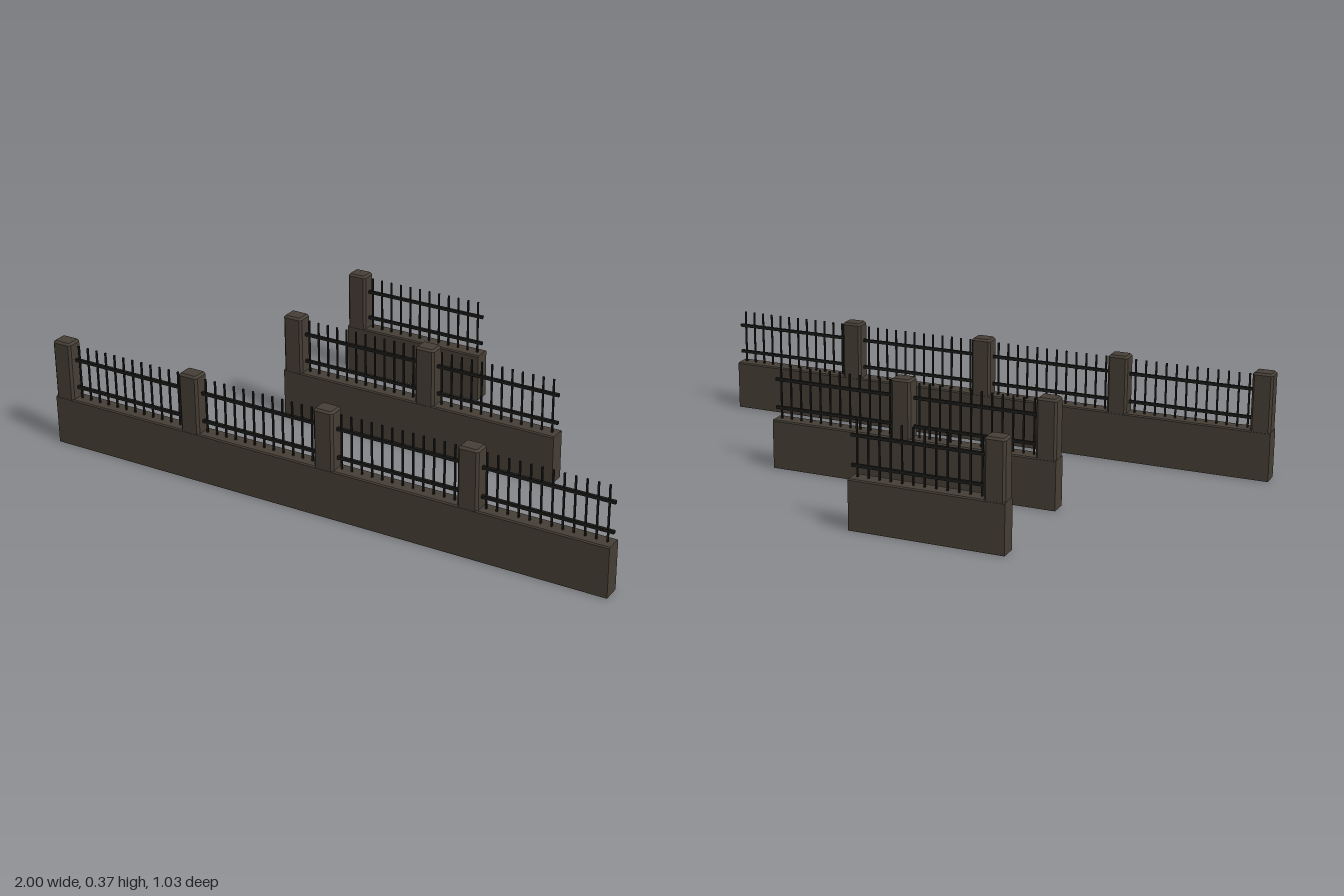
import * as THREE from 'three';

const DEPTH = 0.06, WALL_TOP = 0.17, PILLAR_TOP = 0.37, PILLAR_WIDTH = 0.07;
const PICKETS = 12;

// Upright block with cut vertical corners and a chamfered top, standing on y = 0
function chamferedBlock(width, depth, height, cut) {
  const w = width / 2 - cut, d = depth / 2 - cut, k = cut * 0.5;
  const shape = new THREE.Shape();
  shape.moveTo(-w + k, -d);
  [[w - k, -d], [w, -d + k], [w, d - k], [w - k, d], [-w + k, d], [-w, d - k], [-w, -d + k]]
    .forEach(([x, y]) => shape.lineTo(x, y));
  shape.closePath();
  const geo = new THREE.ExtrudeGeometry(shape, {
    depth: height - 2 * cut, bevelEnabled: true, bevelSize: cut, bevelThickness: cut, bevelSegments: 1,
  });
  return geo.translate(0, 0, cut).rotateX(-Math.PI / 2);
}

// Low wall: cross-section with slightly chamfered top edges, run along x
function wallBlock(length) {
  const d = DEPTH / 2, c = 0.004;
  const shape = new THREE.Shape([
    [-d, 0], [d, 0], [d, WALL_TOP - c], [d - c, WALL_TOP], [-d + c, WALL_TOP], [-d, WALL_TOP - c],
  ].map(([x, y]) => new THREE.Vector2(x, y)));
  const geo = new THREE.ExtrudeGeometry(shape, { depth: length, bevelEnabled: false });
  return geo.translate(0, 0, -length / 2).rotateY(Math.PI / 2);
}

export function createModel() {
  const stone = new THREE.MeshStandardMaterial({ color: 0x453e35 });
  stone.name = 'darkStone';
  const iron = new THREE.MeshStandardMaterial({ color: 0x1b1a19 });
  iron.name = 'blackIron';

  const model = new THREE.Group();
  model.name = 'fenceSet';

  const add = (parent, name, geometry, material, x, y, z = 0) => {
    const mesh = new THREE.Mesh(geometry, material);
    mesh.name = name;
    mesh.position.set(x, y, z);
    parent.add(mesh);
  };

  const pillarGeo = chamferedBlock(PILLAR_WIDTH, DEPTH - 0.001, PILLAR_TOP - 0.002, 0.007);
  const picketGeo = new THREE.BoxGeometry(0.0055, 0.193, 0.0055);

  // One fence run: wall, then a pillar, two rails and pickets per section
  function fenceRun(name, xStart, xEnd, z, starts) {
    const run = new THREE.Group();
    run.name = name;
    run.position.z = z;
    add(run, 'lowWall', wallBlock(xEnd - xStart), stone, (xStart + xEnd) / 2, 0);

    starts.forEach((x0, i) => {
      const x1 = i + 1 < starts.length ? starts[i + 1] : xEnd;
      const section = new THREE.Group();
      section.name = 'fenceSection';
      run.add(section);
      add(section, 'pillar', pillarGeo, stone, x0 + PILLAR_WIDTH / 2 + 0.001, 0.002);

      const railStart = x0 + PILLAR_WIDTH - 0.01;
      const railGeo = new THREE.BoxGeometry(x1 - railStart, 0.01, 0.01);
      for (const y of [0.207, 0.305]) add(section, 'rail', railGeo, iron, (railStart + x1) / 2, y);

      const first = x0 + 0.086, last = x1 - 0.02;
      for (let p = 0; p < PICKETS; p++) {
        const x = first + (last - first) * p / (PICKETS - 1);
        add(section, 'picket', picketGeo, iron, x, 0.2605);
      }
    });
    model.add(run);
  }

  fenceRun('longFence', -1, 1, 0.483, [-1, -0.5, 0, 0.5]);
  fenceRun('mediumFence', -0.457, 0.558, -0.063, [-0.457, 0.05]);
  fenceRun('shortFence', -0.457, 0.067, -0.483, [-0.457]);

  return model;
}
